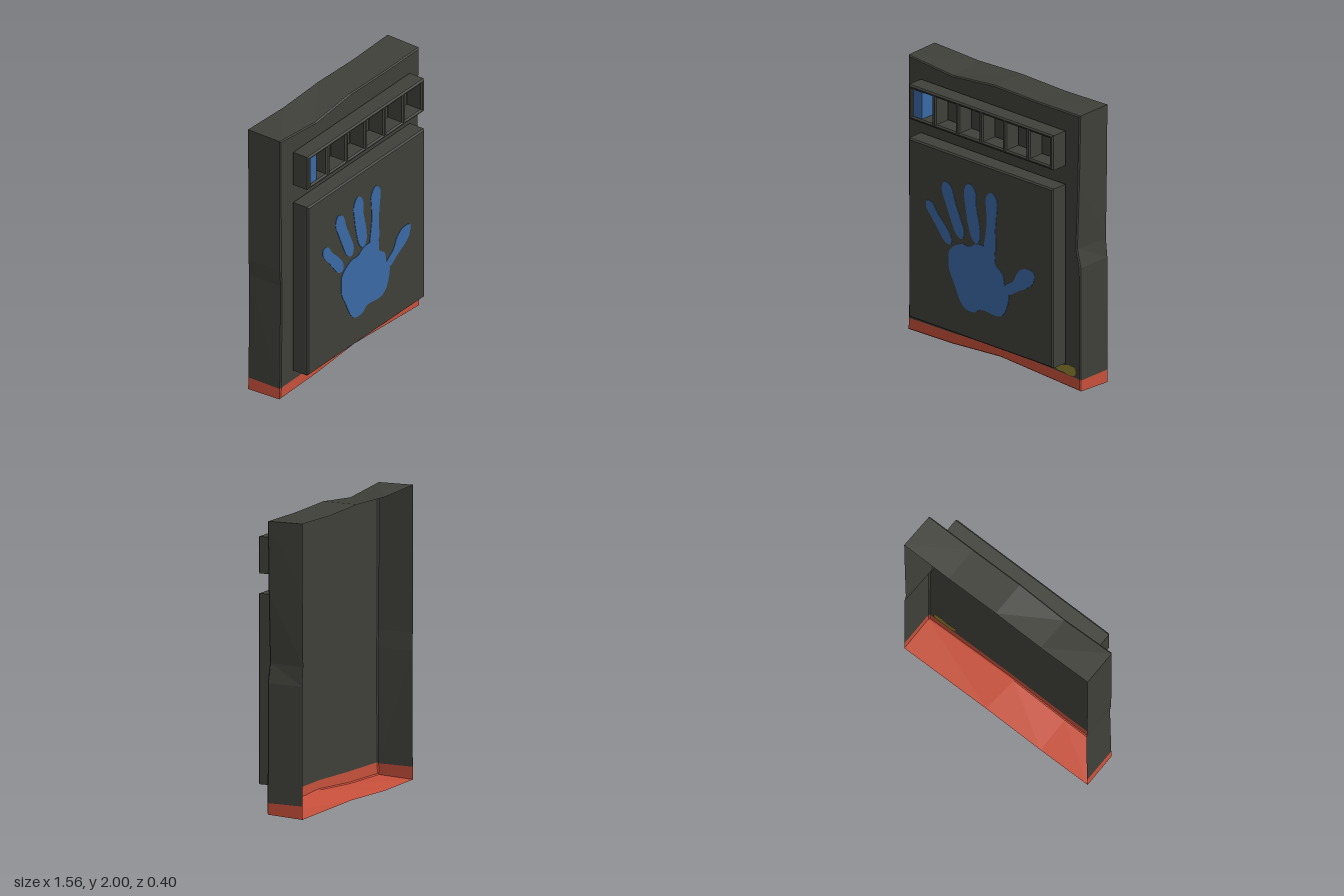
import * as THREE from 'three';

const mat = (name, color, side = THREE.FrontSide) => {
  const m = new THREE.MeshStandardMaterial({ color, side });
  m.name = name;
  return m;
};

const FRONT = 0.065, BACK = -0.2, FACE = 0.2;

// Outline stations of the warped casing: [front x, front y, back x, back y]
const upperLine = [
  [0.775, 0.09, 0.775, 0.09], [0.773, 0.9, 0.775, 0.9], [0.742, 1.03, 0.762, 1.03],
  [0.76, 1.5, 0.77, 1.5], [0.772, 1.995, 0.776, 2], [0.4, 1.99, 0.4, 1.99],
  [0, 1.998, 0, 2], [-0.38, 1.96, -0.38, 1.985], [-0.778, 1.995, -0.78, 2],
  [-0.775, 1.0, -0.775, 1.0], [-0.765, 0.88, -0.768, 0.88], [-0.775, 0.095, -0.775, 0.095],
];
const lowerLine = [
  [-0.775, 0.095, -0.775, 0.095], [-0.78, 0.018, -0.78, 0.008], [-0.38, 0.026, -0.38, 0],
  [0.05, 0.055, 0.08, 0.015], [0.775, 0.012, 0.775, 0], [0.775, 0.09, 0.775, 0.09],
];
// Shared painted edge across the front, left to right
const seam = [[-0.38, 0.1], [0.05, 0.113], [0.4, 0.105]];

// Open-backed shell: side walls, a narrow bevel, and the flat front
function shell(line, seamPoints, material) {
  const inset = ([x, y]) => [x * 0.99, 1 + (y - 1) * 0.992];
  const rings = line.map(([fx, fy, bx, by]) => [
    [bx, by, BACK], [fx, fy, FRONT - 0.008], [...inset([fx, fy]), FRONT],
  ]);
  const pos = [];
  for (let i = 0; i < rings.length - 1; i++) {
    for (let j = 0; j < 2; j++) {
      const a = rings[i][j], b = rings[i + 1][j], c = rings[i + 1][j + 1], d = rings[i][j + 1];
      pos.push(...a, ...c, ...b, ...a, ...d, ...c);
    }
  }
  const walls = new THREE.BufferGeometry();
  walls.setAttribute('position', new THREE.Float32BufferAttribute(pos, 3));
  // Orient the walls outward
  for (let i = 0; i < pos.length; i += 9) {
    const p = [0, 3, 6].map(k => new THREE.Vector3(pos[i + k], pos[i + k + 1], pos[i + k + 2]));
    const n = p[1].clone().sub(p[0]).cross(p[2].clone().sub(p[0]));
    if (n.dot(new THREE.Vector3(p[0].x, p[0].y - 1, 0)) < 0) {
      walls.attributes.position.setXYZ(i / 3 + 1, ...p[2]);
      walls.attributes.position.setXYZ(i / 3 + 2, ...p[1]);
    }
  }
  walls.computeVertexNormals();
  const outline = [...line.map(inset), ...seamPoints.map(inset)].map(p => new THREE.Vector2(...p));
  const face = new THREE.ShapeGeometry(new THREE.Shape(outline));
  face.translate(0, 0, FRONT);
  const group = new THREE.Group();
  group.add(new THREE.Mesh(walls, material), new THREE.Mesh(face, material));
  group.children[0].name = 'casingWalls';
  group.children[1].name = 'casingFront';
  return group;
}

function rect(Type, x0, y0, x1, y1) {
  const s = new Type();
  s.moveTo(x0, y0); s.lineTo(x1, y0); s.lineTo(x1, y1); s.lineTo(x0, y1); s.closePath();
  return s;
}

// Block standing on the casing front, with bevelled rims
function raised(shape) {
  const b = 0.01;
  const g = new THREE.ExtrudeGeometry(shape, {
    depth: FACE - FRONT - 0.001 - 2 * b, bevelThickness: b, bevelSize: b, bevelOffset: -b, bevelSegments: 1,
  });
  g.translate(0, 0, FRONT + 0.001 + b);
  return g;
}

// Smooth closed outline through a few points
function smoothShape(points) {
  const curve = new THREE.CatmullRomCurve3(points.map(([x, y]) => new THREE.Vector3(x, y, 0)), true);
  return new THREE.Shape(curve.getPoints(points.length * 4).map(p => new THREE.Vector2(p.x, p.y)));
}

// Finger outline from stations [x, y, half width], rounded at both ends
function fingerShape(st) {
  const left = [], right = [];
  let tip, root;
  st.forEach(([x, y, r], i) => {
    const a = st[Math.max(i - 1, 0)], b = st[Math.min(i + 1, st.length - 1)];
    const len = Math.hypot(b[0] - a[0], b[1] - a[1]);
    const dx = (b[0] - a[0]) / len, dy = (b[1] - a[1]) / len;
    left.push([x - dy * r, y + dx * r]);
    right.unshift([x + dy * r, y - dx * r]);
    if (i === 0) tip = [x - dx * r, y - dy * r];
    root = [x + dx * r, y + dy * r];
  });
  return smoothShape([tip, ...left, root, ...right]);
}

function plate(shape, z, depth) {
  const g = new THREE.ExtrudeGeometry(shape, { depth, bevelEnabled: false });
  g.translate(0, 0, z);
  return g;
}

export function createModel() {
  const model = new THREE.Group();
  const dark = mat('charcoal', 0x40403a);
  const darkShell = mat('charcoalShell', 0x40403a, THREE.DoubleSide);
  const red = mat('red', 0xc7503b, THREE.DoubleSide);
  const blue = mat('blue', 0x3a69a5);
  const yellow = mat('yellow', 0x92842f);
  const add = (name, geometry, material) => {
    const m = new THREE.Mesh(geometry, material);
    m.name = name;
    model.add(m);
  };

  // Casing and its red lower edge
  const casing = shell(upperLine, seam, darkShell);
  casing.name = 'casing';
  const base = shell(lowerLine, [...seam].reverse(), red);
  base.name = 'redBase';
  model.add(casing, base);

  // Large scanner pad
  add('scannerPad', raised(rect(THREE.Shape, -0.65, 0.185, 0.65, 1.475)), dark);

  // Indicator tray with six open cells
  const tray = rect(THREE.Shape, -0.65, 1.61, 0.65, 1.86);
  for (let i = 0; i < 6; i++) {
    const x = -0.617 + i * 0.2117;
    tray.holes.push(rect(THREE.Path, x, 1.637, x + 0.175, 1.833));
  }
  add('indicatorTray', raised(tray), dark);
  const bar = new THREE.BoxGeometry(0.08, 0.196, 0.12);
  bar.translate(-0.58, 1.735, FRONT + 0.0615);
  add('indicatorBar', bar, blue);

  // Handprint on the pad
  const palm = [
    [-0.275, 0.78], [-0.17, 0.85], [-0.1, 0.85], [-0.04, 0.885], [0.04, 0.89], [0.11, 0.88],
    [0.135, 0.85], [0.135, 0.79], [0.2, 0.735], [0.22, 0.66], [0.255, 0.6], [0.24, 0.51],
    [0.21, 0.45], [0.16, 0.42], [0, 0.425], [-0.05, 0.39], [-0.14, 0.395], [-0.19, 0.45],
    [-0.235, 0.545], [-0.28, 0.635], [-0.285, 0.71],
  ];
  add('palmPrint', plate(smoothShape(palm), FACE, 0.003), blue);
  const fingers = {
    littleFingerPrint: [[-0.46, 1.05, 0.035], [-0.41, 0.985, 0.034], [-0.35, 0.92, 0.04], [-0.29, 0.845, 0.036]],
    ringFingerPrint: [[-0.305, 1.215, 0.046], [-0.27, 1.12, 0.045], [-0.23, 1.03, 0.046], [-0.18, 0.92, 0.038]],
    middleFingerPrint: [[-0.095, 1.255, 0.05], [-0.085, 1.14, 0.05], [-0.06, 1.02, 0.052], [-0.04, 0.925, 0.038]],
    indexFingerPrint: [[0.1, 1.245, 0.05], [0.1, 1.15, 0.046], [0.095, 1.04, 0.04], [0.09, 0.95, 0.048], [0.085, 0.88, 0.05]],
    thumbPrint: [[0.44, 0.79, 0.055], [0.38, 0.745, 0.062], [0.32, 0.685, 0.038], [0.24, 0.63, 0.032]],
  };
  for (const [name, st] of Object.entries(fingers)) add(name, plate(fingerShape(st), FACE, 0.003), blue);

  // Yellow smudge that shows on both sides of the front wall
  const smudge = [
    [0.545, 0.145], [0.56, 0.17], [0.63, 0.165], [0.68, 0.176], [0.73, 0.165],
    [0.733, 0.12], [0.69, 0.105], [0.62, 0.115], [0.57, 0.118],
  ];
  add('yellowSmudge', plate(smoothShape(smudge), FRONT - 0.003, 0.006), yellow);

  return model;
}
